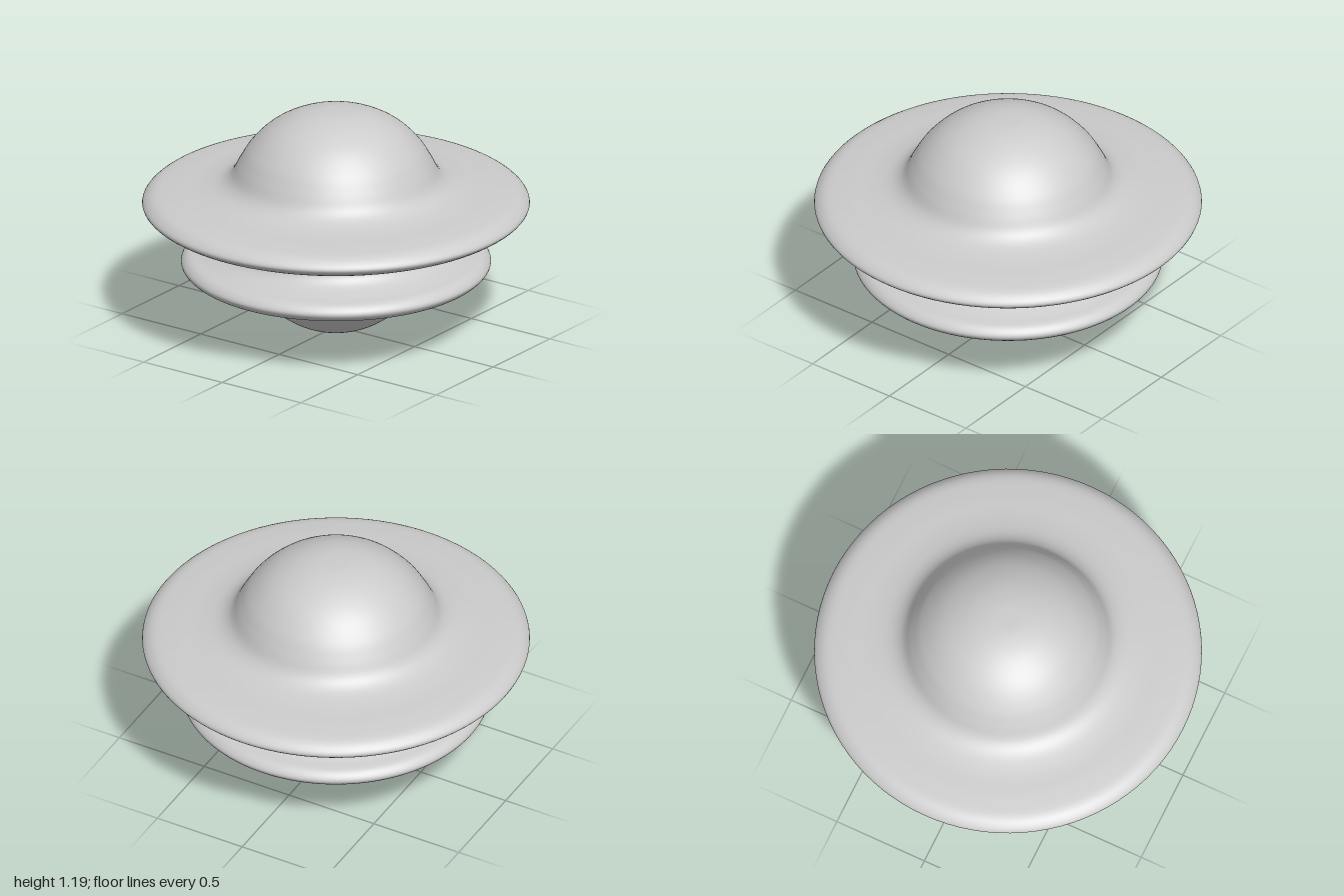
import * as THREE from 'three';

export function createModel() {
  const model = new THREE.Group();
  model.name = 'saucer';

  // Half profile (radius, height), from the bottom pole to the top pole
  const profile = [
    // lower bowl
    [0, 0], [0.1, 0.008], [0.2, 0.04], [0.3, 0.1], [0.4, 0.19], [0.45, 0.236], [0.52, 0.274],
    // lower rim
    [0.6, 0.29], [0.7, 0.302], [0.77, 0.325], [0.8, 0.363], [0.77, 0.403], [0.7, 0.422],
    // waist
    [0.62, 0.452], [0.585, 0.487], [0.577, 0.52], [0.595, 0.557], [0.65, 0.587],
    // upper rim
    [0.75, 0.602], [0.85, 0.615], [0.95, 0.642], [1, 0.685], [0.955, 0.732], [0.85, 0.752], [0.7, 0.766],
    // dome
    [0.6, 0.79], [0.545, 0.83], [0.5, 0.91], [0.45, 0.99], [0.35, 1.09], [0.22, 1.16], [0.1, 1.189], [0, 1.193],
  ].map(([r, y]) => new THREE.Vector3(r, y, 0));

  const points = new THREE.CatmullRomCurve3(profile)
    .getPoints(160)
    .map((p) => new THREE.Vector2(Math.max(p.x, 0), Math.max(p.y, 0)));
  points[0].x = points[points.length - 1].x = 0;

  const body = new THREE.Mesh(
    new THREE.LatheGeometry(points, 96),
    new THREE.MeshStandardMaterial({ color: 0xcccccc }),
  );
  body.name = 'saucerBody';
  model.add(body);
  return model;
}
